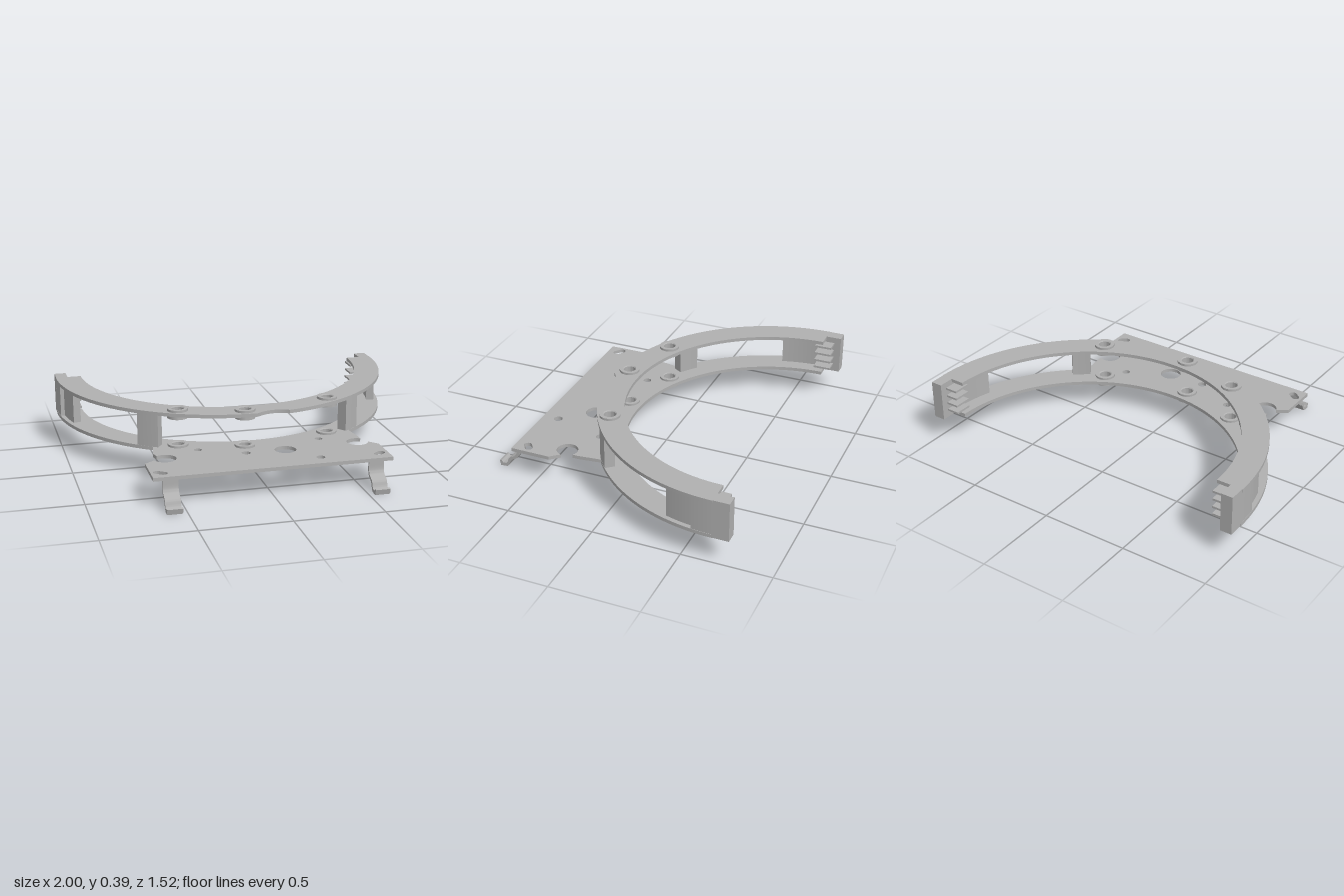
import * as THREE from 'three';
import { toCreasedNormals } from 'three/addons/utils/BufferGeometryUtils.js';

const CZ = -0.67; // centre of the half ring
const PI = Math.PI;
const BOSSES = [[-0.425, 0.16], [-0.065, 0.26], [0.45, 0.145]];
const HOLE_R = 0.034;

export function createModel() {
  const model = new THREE.Group();
  const grey = new THREE.MeshStandardMaterial({ color: 0xb0b0b0 });
  grey.name = 'metalGrey';

  function add(name, geometry) {
    const mesh = new THREE.Mesh(toCreasedNormals(geometry, 0.5), grey);
    mesh.name = name;
    model.add(mesh);
    return mesh;
  }

  // plan outline in (x, z), extruded between two heights
  function slab(name, shape, y0, y1) {
    const g = new THREE.ExtrudeGeometry(shape, { depth: y1 - y0, bevelEnabled: false, curveSegments: 48 });
    g.rotateX(PI / 2).translate(0, y1, 0);
    return add(name, g);
  }

  function box(name, x0, x1, y0, y1, z0, z1) {
    const g = new THREE.BoxGeometry(x1 - x0, y1 - y0, z1 - z0);
    g.translate((x0 + x1) / 2, (y0 + y1) / 2, (z0 + z1) / 2);
    return add(name, g);
  }

  function sector(r0, r1, a0, a1) {
    const s = new THREE.Shape();
    s.absarc(0, CZ, r1, a0, a1, false);
    s.absarc(0, CZ, r0, a1, a0, true);
    return s;
  }

  function roundHole(shape, x, z, r) {
    const p = new THREE.Path();
    p.absarc(x, z, r, 0, PI * 2, true);
    shape.holes.push(p);
  }

  function slotHole(shape, x, z, half, r, angle) {
    const p = new THREE.Path();
    const dx = Math.cos(angle) * half, dz = Math.sin(angle) * half;
    p.absarc(x + dx, z + dz, r, angle - PI / 2, angle + PI / 2, false);
    p.absarc(x - dx, z - dz, r, angle + PI / 2, angle + PI * 1.5, false);
    shape.holes.push(p);
  }

  // upper half ring with a shallow relief in its outer edge
  const upper = new THREE.Shape();
  upper.absarc(0, CZ, 1, 0, PI / 2 - 0.18, false);
  upper.bezierCurveTo(0.13, 0.28, 0.05, 0.28, -0.005, 0.33);
  upper.absarc(0, CZ, 1, PI / 2 + 0.005, PI, false);
  upper.absarc(0, CZ, 0.85, PI, 0, true);

  // lower half ring in one piece with the mounting plate
  const lower = new THREE.Shape();
  lower.absarc(0, CZ, 1, 0, 0.946, false);
  lower.lineTo(0.6, 0.27);
  lower.absarc(0.565, 0.355, 0.06, -0.94, 0.2, true);
  lower.lineTo(0.67, 0.42);
  lower.lineTo(0.67, 0.65);
  lower.lineTo(-0.66, 0.65);
  lower.lineTo(-0.66, 0.42);
  lower.absarc(-0.54, 0.365, 0.062, PI - 0.2, -PI + 0.94, true);
  lower.lineTo(-0.588, 0.27);
  lower.absarc(0, CZ, 1, PI - 0.97, PI, false);
  lower.absarc(0, CZ, 0.85, PI, 0, true);
  roundHole(lower, 0.135, 0.385, 0.06);
  roundHole(lower, -0.09, 0.385, 0.025);
  roundHole(lower, 0.285, 0.555, 0.025);
  roundHole(lower, -0.335, 0.268, 0.022);
  roundHole(lower, 0.37, 0.25, 0.022);
  slotHole(lower, -0.608, 0.58, 0.018, 0.022, 0.65);
  slotHole(lower, 0.617, 0.572, 0.015, 0.022, -0.65);

  for (const [x, z] of BOSSES) {
    roundHole(upper, x, z, HOLE_R);
    roundHole(lower, x, z, HOLE_R);
  }
  slab('upperRing', upper, 0.355, 0.375);
  slab('lowerRingAndPlate', lower, 0.15, 0.17);

  // flanged bushings through both plates
  for (const [x, z] of BOSSES) {
    for (const y of [0.155, 0.361]) {
      const profile = [
        [0.033, -0.022], [0.038, -0.027], [0.058, -0.027], [0.058, 0.027],
        [0.038, 0.027], [0.033, 0.022], [0.033, -0.022],
      ].map(([r, h]) => new THREE.Vector2(r, h));
      add('bushing', new THREE.LatheGeometry(profile, 40)).position.set(x, y, z);
    }
  }

  // curved posts between the plates
  slab('rightPost', sector(0.94, 0.999, 0.857, 0.97), 0.17, 0.355);
  slab('leftPost', sector(0.94, 0.999, PI - 1.0, PI - 0.873), 0.17, 0.355);

  for (const side of [-1, 1]) {
    const span = (a0, a1) => (side > 0 ? [a0, a1] : [PI - a1, PI - a0]);
    const across = (a, b) => (side > 0 ? [a, b] : [-b, -a]);

    // end walls, with the forward panel set back
    slab('endPanel', sector(0.93, 0.975, ...span(0.12, 0.288)), 0.17, 0.355);
    slab('endWall', sector(0.93, 0.998, ...span(0.005, 0.12)), 0.17, 0.355);
    box('endBlock', ...across(0.93, 0.998), 0.15, 0.375, -0.76, -0.664);

    // comb of fins on the inner face
    for (const y of [0.195, 0.24, 0.287, 0.334]) {
      box('fin', ...across(0.857, 0.935), y - 0.006, y + 0.006, -0.72, -0.62);
    }
  }

  // bent spring clips under the front edge, profile in (z, y)
  const clip = new THREE.Shape();
  clip.moveTo(0.635, 0.16);
  clip.lineTo(0.65, 0.16);
  clip.bezierCurveTo(0.65, 0.10, 0.645, 0.085, 0.69, 0.068);
  clip.bezierCurveTo(0.715, 0.055, 0.705, 0.035, 0.722, 0.022);
  clip.lineTo(0.742, 0.02);
  clip.lineTo(0.752, 0.034);
  clip.lineTo(0.764, 0.03);
  clip.lineTo(0.757, 0.0);
  clip.lineTo(0.715, 0.003);
  clip.bezierCurveTo(0.69, 0.03, 0.7, 0.045, 0.675, 0.058);
  clip.bezierCurveTo(0.63, 0.075, 0.637, 0.1, 0.635, 0.16);
  // the profile sits in front of the plate edge, mapped onto z
  for (const x of [-0.568, 0.573]) {
    const g = new THREE.ExtrudeGeometry(clip, { depth: 0.085, bevelEnabled: false, curveSegments: 10 });
    g.rotateY(-PI / 2).translate(x + 0.0425, 0, 0);
    add('springClip', g);
  }

  return model;
}
